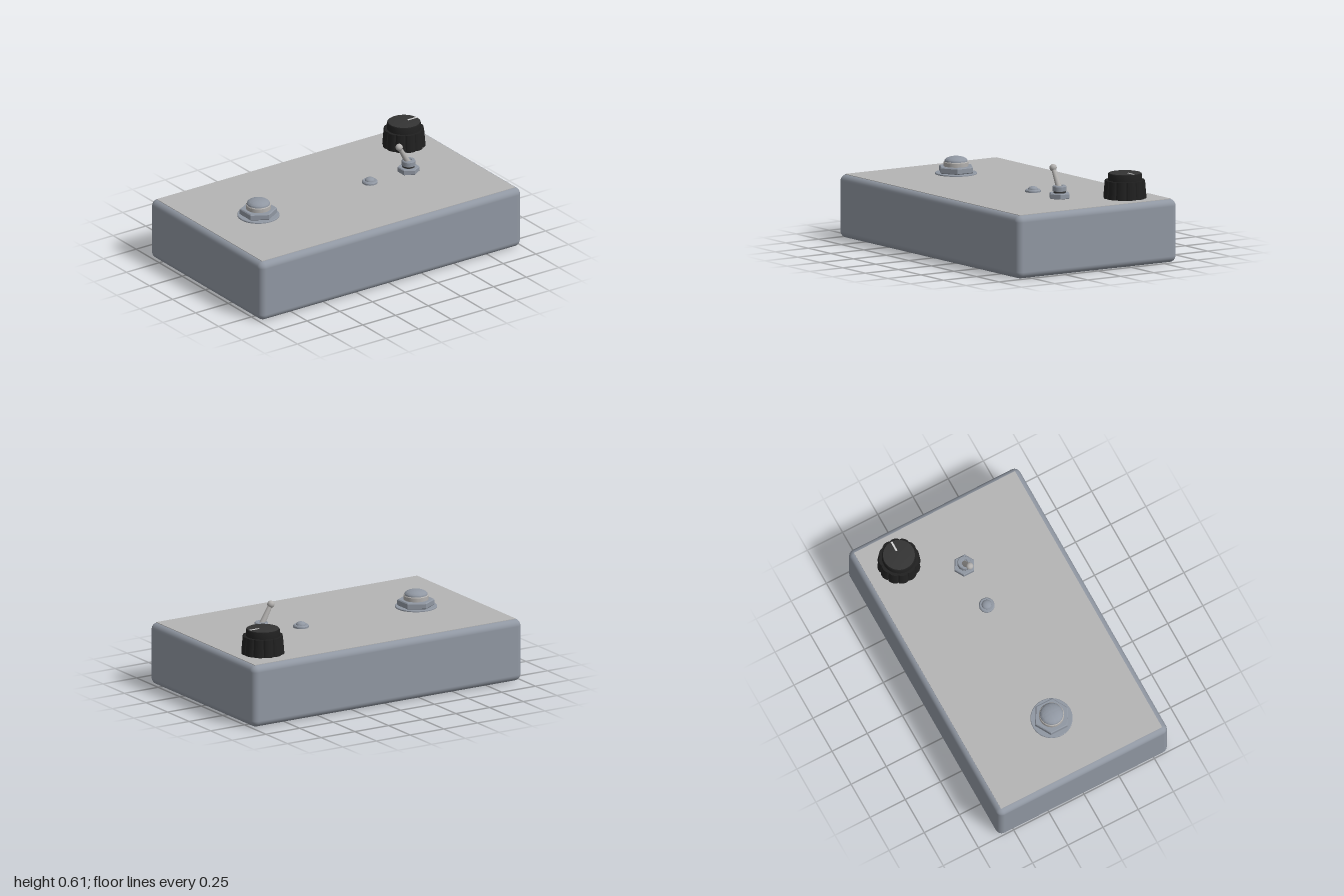
import * as THREE from 'three';
import { RoundedBoxGeometry } from 'three/addons/geometries/RoundedBoxGeometry.js';
import { toCreasedNormals } from 'three/addons/utils/BufferGeometryUtils.js';

const mat = (name, color) => {
  const m = new THREE.MeshStandardMaterial({ color });
  m.name = name;
  return m;
};

export function createModel() {
  const steel = mat('blue grey metal', 0x9097a2);
  const plate = mat('light grey face', 0xb4b4b4);
  const bright = mat('bright metal', 0xb2b0ae);
  const black = mat('black plastic', 0x202020);
  const charcoal = mat('charcoal plastic', 0x343434);
  const white = mat('pale marker', 0xd2d2d2);

  const model = new THREE.Group();
  model.name = 'effectPedal';
  const TOP = 0.4;

  const add = (parent, name, geometry, material, x = 0, y = 0, z = 0) => {
    const mesh = new THREE.Mesh(geometry, material);
    mesh.name = name;
    mesh.position.set(x, y, z);
    parent.add(mesh);
    return mesh;
  };
  // Each control is a group standing on the top face
  const control = (name, x, z) => {
    const g = new THREE.Group();
    g.name = name;
    g.position.set(x, TOP, z);
    model.add(g);
    return g;
  };
  // Turned part with crisp edges, from [radius, height] pairs
  const turned = (points, sides = 48) => toCreasedNormals(
    new THREE.LatheGeometry(points.map(p => new THREE.Vector2(...p)), sides), 0.5);
  // Chamfered hexagonal nut with corners on the x axis
  const hexNut = (r, h, c) => {
    const shape = new THREE.Shape();
    for (let i = 0; i < 6; i++) {
      const a = i * Math.PI / 3, q = r - c;
      i ? shape.lineTo(q * Math.cos(a), q * Math.sin(a)) : shape.moveTo(q, 0);
    }
    shape.closePath();
    const g = new THREE.ExtrudeGeometry(shape, {
      depth: h - 2 * c, bevelEnabled: true, bevelSize: c * 0.87, bevelThickness: c, bevelSegments: 1,
    });
    return g.rotateX(-Math.PI / 2).translate(0, c, 0);
  };

  // Enclosure and its face plate
  add(model, 'enclosure', new RoundedBoxGeometry(1.21, 0.4, 2, 6, 0.042), steel, 0, 0.2, 0);
  add(model, 'facePlate', new THREE.BoxGeometry(1.144, 0.004, 1.936), plate, 0, TOP, 0);

  // Foot switch: washer, nut, bushing and domed button
  const foot = control('footSwitch', -0.008, 0.588);
  add(foot, 'washer', turned([[0, 0], [0.132, 0], [0.132, 0.008], [0.129, 0.011], [0, 0.011]]), steel);
  add(foot, 'nut', hexNut(0.117, 0.041, 0.006), steel, 0, 0.01, 0);
  add(foot, 'bushing', turned([[0, 0.05], [0.078, 0.05], [0.078, 0.076], [0.074, 0.081], [0, 0.081]]), bright);
  const dome = [[0.073, 0.078]];
  for (let i = 0; i <= 10; i++) {
    const a = i / 10 * Math.PI / 2;
    dome.push([0.073 * Math.cos(a), 0.083 + 0.03 * Math.sin(a)]);
  }
  add(foot, 'button', turned(dome), steel);

  // Indicator lamp: bezel and lens
  const lamp = control('lamp', -0.008, -0.265);
  add(lamp, 'bezel', turned([[0, 0], [0.049, 0], [0.049, 0.012], [0.043, 0.019], [0, 0.019]], 32), steel);
  add(lamp, 'lens', new THREE.SphereGeometry(0.032, 24, 8, 0, Math.PI * 2, 0, Math.PI / 2)
    .scale(1, 0.62, 1), steel, 0, 0.018, 0);

  // Toggle switch, its lever thrown towards the front
  const toggle = control('toggleSwitch', -0.008, -0.56);
  add(toggle, 'nut', hexNut(0.07, 0.036, 0.005), steel);
  add(toggle, 'threadGroove', new THREE.CylinderGeometry(0.039, 0.039, 0.014, 32), charcoal, 0, 0.042, 0);
  add(toggle, 'bushing', turned([[0.038, 0.046], [0.043, 0.048], [0.043, 0.076], [0.039, 0.082],
    [0.022, 0.082], [0.018, 0.076], [0, 0.076]], 32), steel);
  const lever = new THREE.Group();
  lever.name = 'lever';
  lever.position.set(0, 0.068, 0.006);
  lever.rotation.x = 0.51;
  toggle.add(lever);
  add(lever, 'stem', new THREE.CylinderGeometry(0.014, 0.019, 0.125, 24), bright, 0, 0.062, 0);
  add(lever, 'tip', new THREE.SphereGeometry(0.023, 24, 16), bright, 0, 0.134, 0);

  // Knob: fluted skirt, cap and pointer line
  const knob = control('knob', -0.358, -0.772);
  const skirt = new THREE.CylinderGeometry(0.127, 0.137, 0.114, 144, 1);
  const p = skirt.attributes.position;
  for (let i = 0; i < p.count; i++) {
    const x = p.getX(i), z = p.getZ(i);
    const k = 0.93 + 0.07 * Math.sqrt(Math.abs(Math.sin(6 * Math.atan2(z, x))));
    p.setX(i, x * k);
    p.setZ(i, z * k);
  }
  add(knob, 'skirt', toCreasedNormals(skirt, 0.6), black, 0, 0.057, 0);
  add(knob, 'capSide', turned([[0.107, 0.112], [0.106, 0.15], [0.104, 0.156], [0.1, 0.159]]), black);
  add(knob, 'capTop', turned([[0.1, 0.159], [0.096, 0.16], [0, 0.16]]), charcoal);
  add(knob, 'pointer', new THREE.BoxGeometry(0.012, 0.004, 0.068), white, 0, 0.16, -0.063);

  return model;
}
